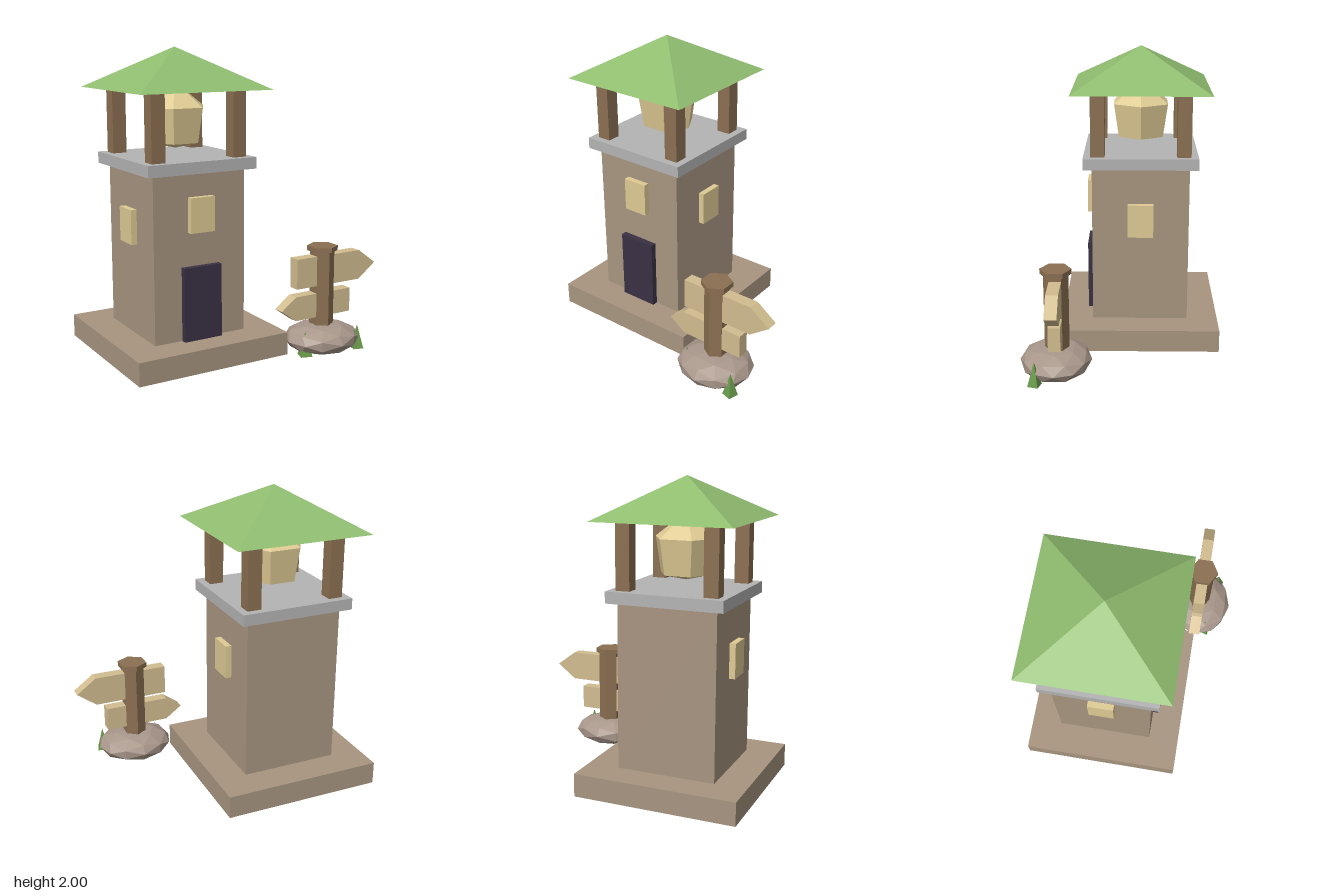
import * as THREE from 'three';

const mat = (color) => new THREE.MeshStandardMaterial({ color, flatShading: true });
const stone = mat(0xa89580), slate = mat(0xb4b4b4), wood = mat(0x8b7052), roofGreen = mat(0x8fbc6f);
const glow = mat(0xdfcb94), plank = mat(0xd2bd90), doorDark = mat(0x3a3144);
const rockMat = mat(0xa8968a), grass = mat(0x6a9a4a);

function add(parent, name, geometry, material, x = 0, y = 0, z = 0) {
  const mesh = new THREE.Mesh(geometry, material);
  mesh.name = name;
  mesh.position.set(x, y, z);
  parent.add(mesh);
  return mesh;
}

// Box standing on height y0
function box(parent, name, material, w, h, d, x, y0, z) {
  return add(parent, name, new THREE.BoxGeometry(w, h, d), material, x, y0 + h / 2, z);
}

function createTower() {
  const tower = new THREE.Group();
  tower.name = 'tower';
  tower.position.set(-0.345, 0, -0.122);

  // Masonry
  box(tower, 'base', stone, 1.072, 0.152, 1.072, 0, 0, 0);
  box(tower, 'body', stone, 0.652, 1.08, 0.652, 0, 0.152, 0);
  box(tower, 'balconySlab', slate, 0.766, 0.075, 0.766, 0, 1.232, 0);

  // Door and windows
  box(tower, 'door', doorDark, 0.268, 0.483, 0.08, 0, 0.152, 0.326);
  box(tower, 'frontWindow', glow, 0.172, 0.226, 0.08, 0, 0.854, 0.326);
  for (const s of [-1, 1])
    box(tower, s > 0 ? 'leftWindow' : 'rightWindow', glow, 0.08, 0.226, 0.172, s * 0.326, 0.759, 0);

  // Corner posts
  for (const sx of [-1, 1])
    for (const sz of [-1, 1])
      box(tower, 'roofPost', wood, 0.094, 0.43, 0.094, sx * 0.287, 1.307, sz * 0.287);

  // Pyramid roof
  const roof = new THREE.ConeGeometry(0.459 * Math.SQRT2, 0.265, 4);
  roof.rotateY(Math.PI / 4);
  add(tower, 'roof', roof, roofGreen, 0, 1.735 + 0.1325, 0);

  // Six-sided lamp
  const profile = [[0, 1.35], [0.173, 1.39], [0.21, 1.618], [0.109, 1.696], [0, 1.733]];
  const lamp = new THREE.LatheGeometry(profile.map(([r, y]) => new THREE.Vector2(r, y)), 6);
  lamp.rotateY(Math.PI / 6);
  add(tower, 'lamp', lamp, glow);
  return tower;
}

// Arrow board: tail edge, shoulder and tip along x, centred on height y
function arrowBoard(parent, name, tail, shoulder, tip, y, h) {
  const pts = [[tail, -h / 2], [shoulder, -h / 2], [tip, 0], [shoulder, h / 2], [tail, h / 2]];
  const shape = new THREE.Shape(pts.map(([px, py]) => new THREE.Vector2(px, py)));
  const depth = 0.078;
  const geometry = new THREE.ExtrudeGeometry(shape, { depth, bevelEnabled: false });
  add(parent, name, geometry, plank, 0, y, -depth / 2);
}

function createSignpost() {
  const sign = new THREE.Group();
  sign.name = 'signpost';
  sign.position.set(0.462, 0, 0.413);

  // Post and cap
  add(sign, 'post', new THREE.CylinderGeometry(0.08, 0.08, 0.62, 6), wood, 0, 0.365, 0);
  add(sign, 'postCap', new THREE.CylinderGeometry(0.102, 0.102, 0.032, 6), wood, 0, 0.69, 0);

  // Arrow boards
  arrowBoard(sign, 'upperArrow', -0.227, 0.28, 0.415, 0.545, 0.2);
  arrowBoard(sign, 'lowerArrow', 0.207, -0.233, -0.345, 0.313, 0.162);

  // Boulder: squashed faceted ball, flattened at the ground
  const rock = new THREE.IcosahedronGeometry(1, 1);
  const p = rock.attributes.position;
  for (let i = 0; i < p.count; i++) {
    const x = p.getX(i), y = p.getY(i), z = p.getZ(i);
    const k = 1 + 0.03 * Math.sin(5 * x + 3 * z + 4 * y) * (1 - x * x) * (1 - z * z);
    p.setXYZ(i, x * 0.26 * k, Math.max(0, 0.08 + y * 0.105 * k), z * 0.233 * k);
  }
  rock.computeVertexNormals();
  add(sign, 'boulder', rock, rockMat, 0, 0, 0.008);

  // Grass tufts poking out of the boulder
  for (const [x, z, r] of [[-0.182, 0.075, 0.055], [0.205, 0.13, 0.05]]) {
    const tuft = add(sign, 'grassTuft', new THREE.ConeGeometry(r, 0.16, 4), grass, x, 0.08, z);
    tuft.rotation.y = 0.5;
  }
  return sign;
}

export function createModel() {
  const model = new THREE.Group();
  model.name = 'watchtowerWithSignpost';
  model.add(createTower(), createSignpost());
  return model;
}
